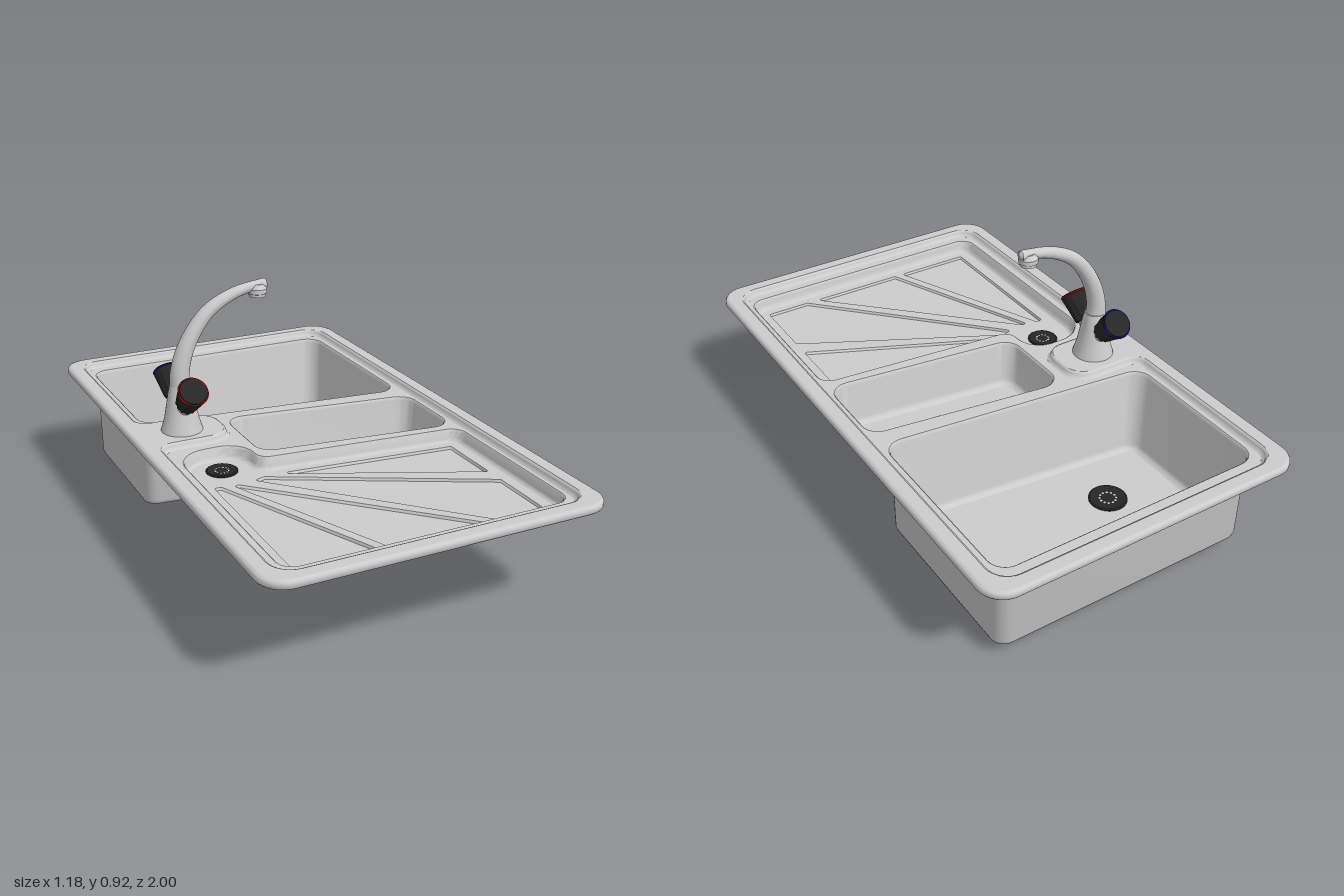
import * as THREE from 'three';
import { toCreasedNormals } from 'three/addons/utils/BufferGeometryUtils.js';

const steel = new THREE.MeshStandardMaterial({ color: 0xcccccc, side: THREE.DoubleSide });
const dark = new THREE.MeshStandardMaterial({ color: 0x262626, side: THREE.DoubleSide });
const red = new THREE.MeshStandardMaterial({ color: 0xcc1111 });
const blue = new THREE.MeshStandardMaterial({ color: 0x1515aa });
const DECK = 0.392, TOP = 0.415, TRAY = 0.347;

// Corners as [x, z, radius], clockwise seen from above
const RIM = [[-0.592, -1, 0.09], [0.592, -1, 0.09], [0.592, 1, 0.09], [-0.592, 1, 0.09]];
const WELL = [[-0.53, -0.94, 0.07], [0.53, -0.94, 0.07], [0.53, 0.94, 0.07], [-0.53, 0.94, 0.07],
  [-0.53, -0.02, 0.05], [-0.255, -0.02, 0.08], [-0.255, -0.235, 0.08], [-0.53, -0.235, 0.05]];
const MAIN = [[-0.497, -0.885, 0.06], [0.497, -0.885, 0.06], [0.497, -0.185, 0.06], [-0.497, -0.29, 0.06]];
const SMALL = [[-0.21, -0.2, 0.06], [0.502, -0.105, 0.06], [0.502, 0.205, 0.06], [-0.21, 0.12, 0.06]];
const BOARD = [[-0.49, 0.03, 0.11], [-0.245, 0.03, 0.09], [-0.245, 0.18, 0.05], [0.502, 0.25, 0.05],
  [0.502, 0.89, 0.05], [-0.49, 0.89, 0.05]];
const PANELS = [
  [[-0.435, 0.24], [-0.41, 0.24], [-0.15, 0.845], [-0.435, 0.845]],
  [[-0.37, 0.25], [-0.35, 0.25], [0.24, 0.845], [-0.115, 0.845]],
  [[-0.29, 0.24], [-0.25, 0.228], [0.45, 0.595], [0.45, 0.845], [0.285, 0.845]],
  [[-0.2, 0.225], [0.45, 0.29], [0.45, 0.525]],
].map((p) => p.map(([x, z]) => [x, z, 0.007]));

// Rounded outline of a polygon, moved inwards by inset
function outline(corners, inset = 0, steps = 8) {
  const pts = [], n = corners.length;
  const dir = (a, b) => new THREE.Vector2(b[0] - a[0], b[1] - a[1]).normalize();
  corners.forEach((c, i) => {
    const d0 = dir(corners[(i + n - 1) % n], c), d1 = dir(c, corners[(i + 1) % n]);
    const n0 = new THREE.Vector2(-d0.y, d0.x), n1 = new THREE.Vector2(-d1.y, d1.x);
    const sign = Math.sign(d0.cross(d1)), angle = Math.acos(d0.dot(d1));
    const r = Math.max(0.004, c[2] - sign * inset);
    const p = n0.clone().add(n1).multiplyScalar(inset / (1 + n0.dot(n1))).add(new THREE.Vector2(c[0], c[1]));
    const centre = p.addScaledVector(d0, -r * Math.tan(angle / 2)).addScaledVector(n0, sign * r);
    for (let k = 0; k <= steps; k++) {
      const v = n0.clone().rotateAround(new THREE.Vector2(), sign * angle * k / steps);
      pts.push(centre.clone().addScaledVector(v, -sign * r));
    }
  });
  return pts;
}

function add(parent, name, geometry, material = steel) {
  const mesh = new THREE.Mesh(geometry, material);
  mesh.name = name;
  parent.add(mesh);
  return mesh;
}

// Wall that follows an outline through [inset, y] steps
function wall(corners, profile) {
  const pos = [], index = [];
  const loops = profile.map(([inset]) => outline(corners, inset));
  const n = loops[0].length;
  loops.forEach((l, j) => l.forEach((p) => pos.push(p.x, profile[j][1], p.y)));
  for (let j = 0; j < loops.length - 1; j++) {
    for (let i = 0; i < n; i++) {
      const a = j * n + i, a1 = j * n + (i + 1) % n;
      index.push(a, a + n, a1, a1, a + n, a1 + n);
    }
  }
  const g = new THREE.BufferGeometry();
  g.setAttribute('position', new THREE.Float32BufferAttribute(pos, 3));
  g.setIndex(index);
  return toCreasedNormals(g, 0.9);
}

// Flat sheet at height y with holes
function sheet(points, y, holes = []) {
  const flip = (l) => l.map((p) => new THREE.Vector2(p.x, -p.y));
  const shape = new THREE.Shape(flip(points));
  shape.holes = holes.map((h) => new THREE.Path(flip(h)));
  return new THREE.ShapeGeometry(shape).rotateX(-Math.PI / 2).translate(0, y, 0);
}

function lathe(points, segments = 32) {
  return toCreasedNormals(new THREE.LatheGeometry(points.map((p) => new THREE.Vector2(...p)), segments), 0.6);
}

function bowl(parent, name, corners, floor) {
  const g = new THREE.Group();
  g.name = name;
  parent.add(g);
  add(g, name + 'Wall', wall(corners, [[-0.006, DECK], [-0.002, DECK - 0.003], [0, DECK - 0.01],
    [0.004, floor + 0.022], [0.01, floor + 0.007], [0.024, floor]]));
  add(g, name + 'Floor', sheet(outline(corners, 0.024), floor));
}

// Drain: flange and tapered cup under the floor, pierced strainer on top
function drain(parent, name, x, z, floor, r, depth) {
  const g = new THREE.Group();
  g.name = name;
  g.position.set(x, floor, z);
  parent.add(g);
  add(g, 'drainCup', lathe([[0, -depth], [r * 0.6, -depth], [r, -0.008], [r, 0.003], [r * 0.93, 0.006],
    [r * 0.6, 0.003]]), dark);
  const ring = (radius, n, cx = 0, cy = 0) => Array.from({ length: n }, (_, i) => {
    const a = i / n * Math.PI * 2;
    return new THREE.Vector2(cx + radius * Math.cos(a), cy + radius * Math.sin(a));
  });
  const holes = ring(r * 0.42, 12).map((p) => ring(r * 0.07, 6, p.x, p.y));
  add(g, 'strainer', sheet(ring(r * 0.6, 32), 0.003, holes), dark);
}

function tap(parent) {
  const g = new THREE.Group();
  g.name = 'mixerTap';
  g.position.set(-0.405, 0, -0.127);
  parent.add(g);
  add(g, 'tapBase', lathe([[0, TOP], [0.074, TOP], [0.072, 0.424], [0.061, 0.46], [0.052, 0.51],
    [0.045, 0.55], [0.037, 0.585], [0, 0.59]]));

  // Tapered, arched spout
  const curve = new THREE.CatmullRomCurve3([[0, 0.52], [0, 0.63], [0.033, 0.73], [0.105, 0.828], [0.19, 0.878],
    [0.265, 0.899], [0.328, 0.906]].map(([x, y]) => new THREE.Vector3(x, y, 0)));
  const rows = 40, sides = 20;
  const spout = new THREE.TubeGeometry(curve, rows, 1, sides);
  const p = spout.attributes.position, v = new THREE.Vector3();
  for (let i = 0; i < p.count; i++) {
    const t = Math.floor(i / (sides + 1)) / rows, c = curve.getPointAt(t);
    v.fromBufferAttribute(p, i).sub(c).multiplyScalar(0.038 - 0.02 * Math.min(1, t * 1.1)).add(c);
    p.setXYZ(i, v.x, v.y, v.z);
  }
  spout.computeVertexNormals();
  add(g, 'spout', spout);
  add(g, 'spoutEnd', new THREE.SphereGeometry(0.018, 20, 12)).position.set(0.315, 0.906, 0);
  add(g, 'nozzle', lathe([[0, 0.864], [0.03, 0.864], [0.03, 0.874], [0.034, 0.876], [0.034, 0.892],
    [0.022, 0.908], [0, 0.912]], 24)).position.x = 0.297;

  // Two fluted knobs on slanted arms
  for (const side of [1, -1]) {
    const h = new THREE.Group();
    h.name = side > 0 ? 'hotHandle' : 'coldHandle';
    h.position.y = 0.473;
    h.rotation.x = side * Math.PI / 4;
    g.add(h);
    add(h, 'handleArm', lathe([[0.034, 0], [0.029, 0.05], [0.027, 0.09]], 24));
    const knob = new THREE.LatheGeometry([[0, 0.072], [0.036, 0.072], [0.04, 0.08], [0.052, 0.165], [0.052, 0.174],
      [0.048, 0.181], [0, 0.182]].map((q) => new THREE.Vector2(...q)), 48);
    const k = knob.attributes.position;
    for (let i = 0; i < k.count; i++) {
      if (k.getY(i) > 0.16) continue;
      const s = 1 - 0.05 * (1 + Math.cos(12 * Math.atan2(k.getZ(i), k.getX(i))));
      k.setXYZ(i, k.getX(i) * s, k.getY(i), k.getZ(i) * s);
    }
    add(h, 'knob', toCreasedNormals(knob, 0.6), dark);
    const band = new THREE.TorusGeometry(0.0515, 0.003, 8, 40).rotateX(Math.PI / 2).translate(0, 0.175, 0);
    add(h, 'colourRing', band, side > 0 ? red : blue);
  }
}

export function createModel() {
  const model = new THREE.Group();
  model.name = 'kitchenSink';

  // Raised rim, with the tap platform as a notch in the sunken deck
  add(model, 'rimEdge', wall(RIM, [[0.014, 0.387], [0.004, 0.387], [0, 0.392], [0, 0.406], [0.004, 0.412], [0.012, TOP]]));
  add(model, 'rimTop', sheet(outline(RIM, 0.012), TOP, [outline(WELL, -0.008)]));
  add(model, 'rimStep', wall(WELL, [[-0.008, TOP], [-0.002, 0.412], [0, 0.406], [0.004, 0.396], [0.012, DECK]]));
  add(model, 'deck', sheet(outline(WELL, 0.012), DECK, [MAIN, SMALL, BOARD].map((c) => outline(c, -0.006))));

  bowl(model, 'mainBowl', MAIN, 0.05);
  bowl(model, 'smallBowl', SMALL, 0.212);

  // Draining board with sunken fan of panels
  add(model, 'boardWall', wall(BOARD, [[-0.006, DECK], [-0.002, DECK - 0.003], [0, DECK - 0.01],
    [0.002, TRAY + 0.012], [0.006, TRAY + 0.004], [0.015, TRAY]]));
  add(model, 'boardFloor', sheet(outline(BOARD, 0.015), TRAY, PANELS.map((c) => outline(c))));
  for (const c of PANELS) {
    add(model, 'boardPanelEdge', wall(c, [[0, TRAY], [0.004, 0.338]]));
    add(model, 'boardPanel', sheet(outline(c, 0.004), 0.338));
  }

  drain(model, 'mainDrain', -0.228, -0.485, 0.05, 0.07, 0.05);
  drain(model, 'smallDrain', 0.152, -0.003, 0.212, 0.07, 0.047);
  drain(model, 'boardDrain', -0.36, 0.125, TRAY, 0.055, 0.045);
  tap(model);
  return model;
}
